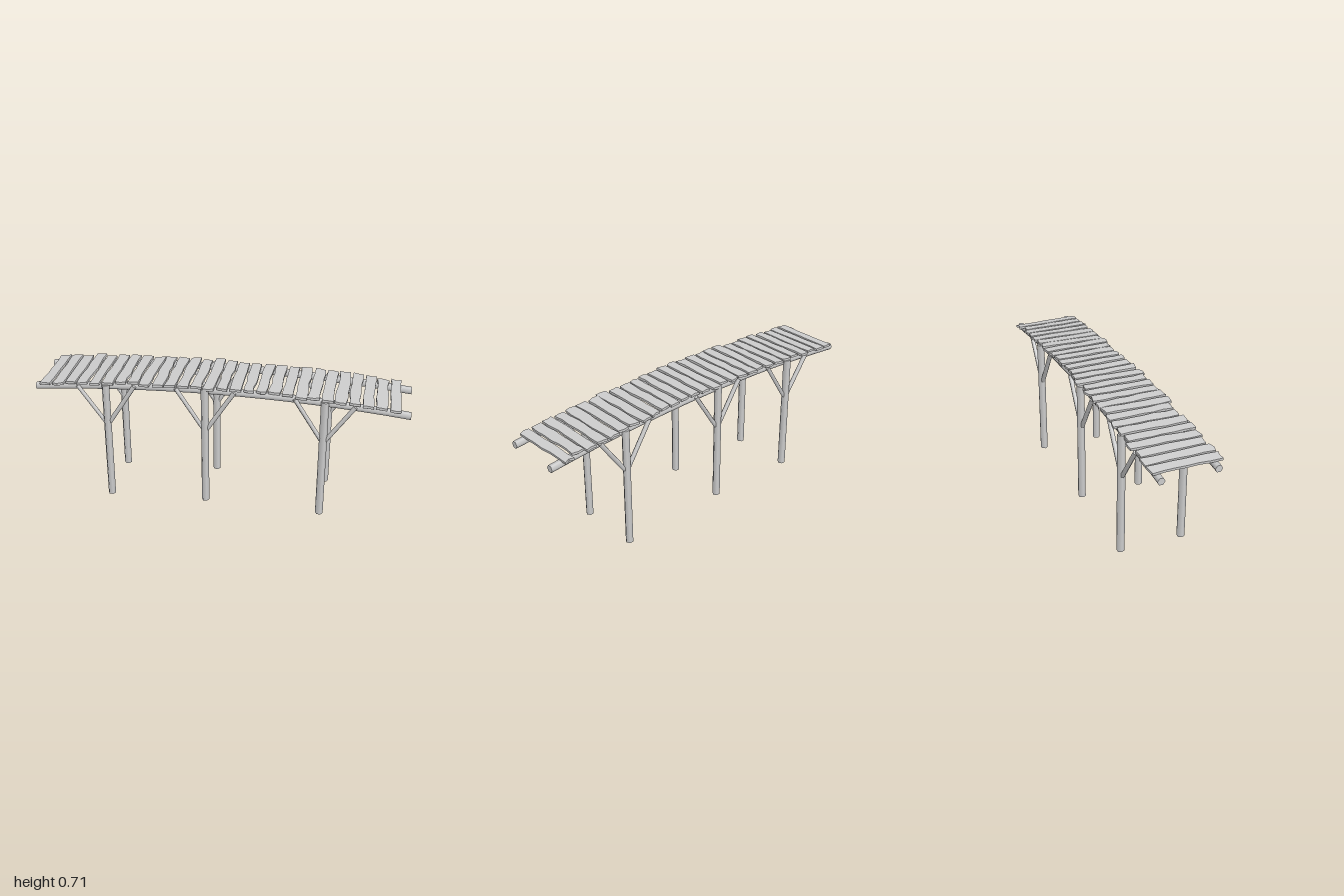
import * as THREE from 'three';

const material = new THREE.MeshStandardMaterial({ color: 0xcccccc });
const plankMaterial = new THREE.MeshStandardMaterial({ color: 0xcccccc, flatShading: true });

// height of the beam axis along the arched deck
const archY = (u) => 0.676 - 0.054 * u * u;

// small seeded noise in -1..1
const noise = (...k) => {
  const s = Math.sin(k.reduce((a, v, i) => a + v * (12.9898 + 65.233 * i), 4.1)) * 43758.5453;
  return (s - Math.floor(s)) * 2 - 1;
};

function add(parent, name, geometry, mat = material) {
  const mesh = new THREE.Mesh(geometry, mat);
  mesh.name = name;
  parent.add(mesh);
  return mesh;
}

// six-sided log between two points
function log(parent, name, a, b, radius) {
  const dir = b.clone().sub(a);
  const geo = new THREE.CylinderGeometry(radius, radius, dir.length(), 6);
  geo.rotateY(Math.PI / 6);
  const mesh = add(parent, name, geo);
  mesh.position.copy(a).add(b).multiplyScalar(0.5);
  mesh.quaternion.setFromUnitVectors(new THREE.Vector3(0, 1, 0), dir.normalize());
}

// long log bent to follow the arch
function beam(parent, name, z) {
  const geo = new THREE.CylinderGeometry(0.02, 0.02, 1.98, 6, 16);
  geo.rotateZ(Math.PI / 2);
  const p = geo.attributes.position;
  for (let i = 0; i < p.count; i++) p.setY(i, p.getY(i) + archY(p.getX(i)));
  geo.computeBoundingSphere();
  add(parent, name, geo).position.z = z;
}

// worn board with uneven edges and ragged ends
function plank(parent, index, u) {
  const width = 0.056 + 0.004 * noise(index, 1);
  const length = 0.355 + 0.018 * noise(index, 2);
  const segments = 6;
  const geo = new THREE.BoxGeometry(width, 0.013, length, 2, 1, segments);
  const p = geo.attributes.position;
  for (let i = 0; i < p.count; i++) {
    const x = p.getX(i), z = p.getZ(i);
    const column = Math.round((z / length + 0.5) * segments);
    const side = Math.round((x / width) * 2);
    const atEnd = column === 0 || column === segments;
    p.setX(i, x + side * 0.0045 * noise(index, column, side + 3));
    if (atEnd) p.setZ(i, z + 0.008 * noise(index, column, side + 7));
  }
  const mesh = add(parent, 'plank', geo, plankMaterial);
  mesh.position.set(u, archY(u) + 0.0225 + 0.0015 * noise(index, 4), 0.008 * noise(index, 5));
  mesh.rotation.set(0.008 * noise(index, 8), 0.02 * noise(index, 6), Math.atan(-0.108 * u));
}

export function createModel() {
  const model = new THREE.Group();
  model.name = 'footbridge';
  const bridge = new THREE.Group();
  bridge.name = 'bridge';
  bridge.rotation.y = -0.119;
  bridge.position.z = 0.0175;
  model.add(bridge);

  // main beams
  beam(bridge, 'leftBeam', 0.146);
  beam(bridge, 'rightBeam', -0.146);

  // deck
  const deck = new THREE.Group();
  deck.name = 'deck';
  bridge.add(deck);
  const count = 28;
  for (let i = 0; i < count; i++) plank(deck, i, -0.93 + (1.837 * i) / (count - 1));

  // posts with a pair of diagonal braces each
  const supports = [[-0.6, 0.002], [-0.068, 0.019], [0.555, 0.003]];
  for (const [u, foot] of supports) {
    for (const side of [-1, 1]) {
      const support = new THREE.Group();
      support.name = 'support';
      bridge.add(support);
      const z = side * 0.17;
      log(support, 'post', new THREE.Vector3(u, foot, z),
        new THREE.Vector3(u, archY(u) + 0.015, z), 0.0208);
      for (const way of [-1, 1]) {
        const top = u + way * 0.155;
        log(support, 'brace', new THREE.Vector3(u + way * 0.005, 0.438 + foot * 0.6, z * 0.985),
          new THREE.Vector3(top, archY(top) + 0.008, z * 0.985), 0.012);
      }
    }
  }
  return model;
}
